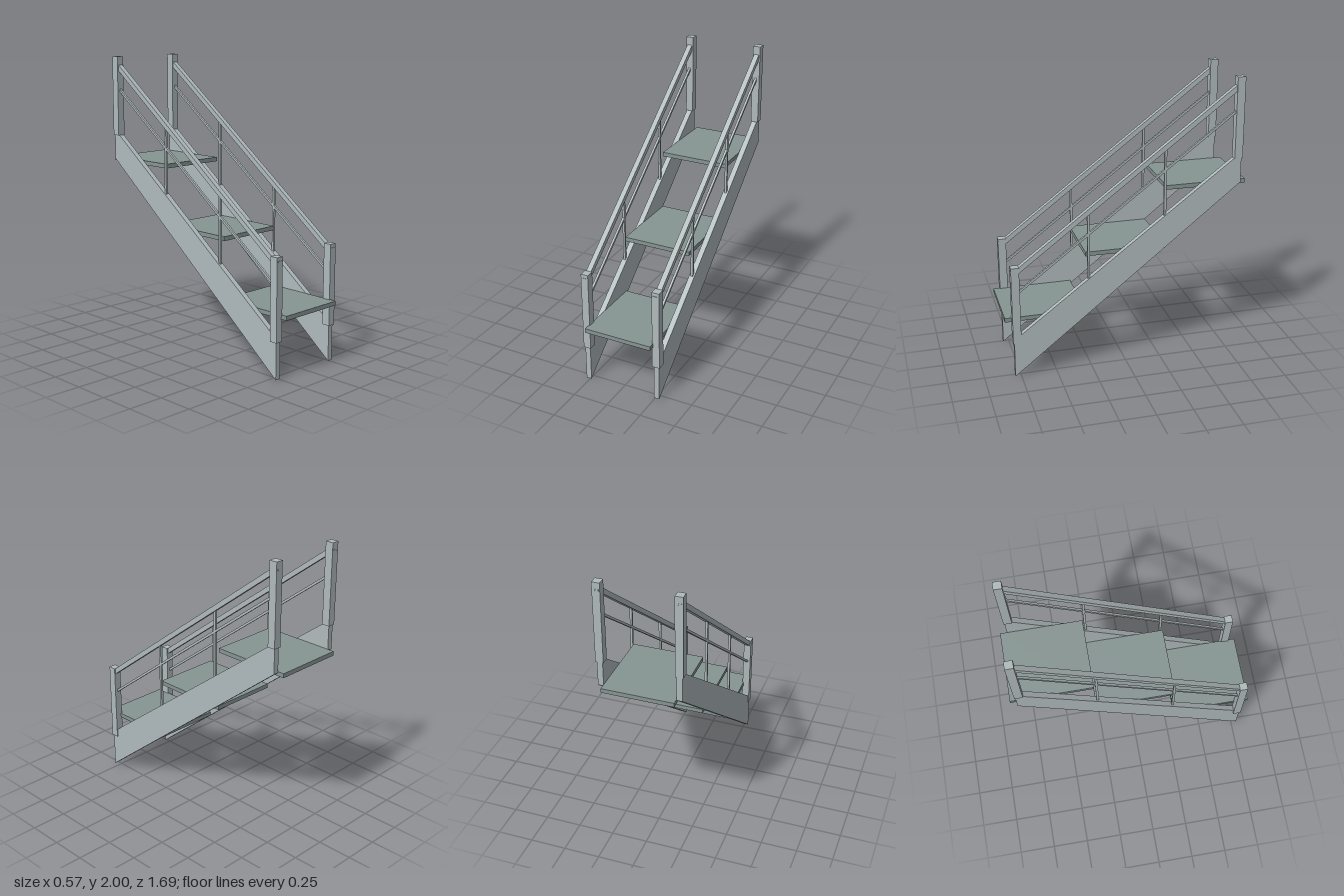
import * as THREE from 'three';

export function createModel() {
  const model = new THREE.Group();
  model.name = 'openStaircase';
  const frame = new THREE.MeshStandardMaterial({ color: 0xb0babc });
  frame.name = 'pale grey frame';
  const treadGrey = new THREE.MeshStandardMaterial({ color: 0x869593 });
  treadGrey.name = 'green grey tread';

  const add = (parent, name, geometry, material, x = 0, y = 0, z = 0) => {
    const mesh = new THREE.Mesh(geometry, material);
    mesh.name = name;
    mesh.position.set(x, y, z);
    parent.add(mesh);
    return mesh;
  };

  // Side profile given as [z, y] points, extruded across x and centred on x = 0
  const sidePlate = (points, width) => {
    const shape = new THREE.Shape(points.map(([z, y]) => new THREE.Vector2(-z, y)));
    return new THREE.ExtrudeGeometry(shape, { depth: width, bevelEnabled: false })
      .translate(0, 0, -width / 2)
      .rotateY(Math.PI / 2);
  };

  // Height of a line parallel to the flight, from its height at z = 0
  const slope = 0.76;
  const along = (base, z) => base - slope * z;
  const topRail = 1.353, midRail = 1.192, stringerTop = 0.875;

  // Treads
  for (let i = 0; i < 3; i++) {
    add(model, 'tread', new THREE.BoxGeometry(0.486, 0.03, 0.56), treadGrey,
      0, 0.416 + 0.423 * i, 0.564 * (1 - i));
  }

  for (const [side, name] of [[1, 'leftSide'], [-1, 'rightSide']]) {
    const group = new THREE.Group();
    group.name = name;
    group.position.x = side * 0.261;
    model.add(group);

    // Sloping stringer with plumb-cut ends
    add(group, 'stringer', sidePlate([
      [0.79, 0], [-0.797, 1.268], [-0.797, 1.44], [-0.745, 1.44], [0.79, 0.275],
    ], 0.038), frame);

    // End posts
    add(group, 'frontPost', new THREE.BoxGeometry(0.053, 0.56, 0.056), frame, 0, 0.53, 0.77);
    add(group, 'backPost', new THREE.BoxGeometry(0.053, 0.56, 0.056), frame, 0, 1.72, -0.775);

    // Handrail, its level ends passing just through the posts
    add(group, 'handrail', sidePlate([
      [0.8, 0.775], [0.75, along(topRail - 0.021, 0.75)],
      [-0.755, along(topRail - 0.021, -0.755)], [-0.805, 1.945],
      [-0.805, 1.955], [-0.755, along(topRail + 0.021, -0.755)],
      [0.75, along(topRail + 0.021, 0.75)], [0.8, 0.785],
    ], 0.036), frame);

    // Thin middle rail
    add(group, 'middleRail', sidePlate([
      [0.75, along(midRail - 0.01, 0.75)], [-0.755, along(midRail - 0.01, -0.755)],
      [-0.755, along(midRail + 0.01, -0.755)], [0.75, along(midRail + 0.01, 0.75)],
    ], 0.016), frame);

    // Balusters from stringer to handrail
    for (const z of [0.263, -0.268]) {
      const bottom = along(stringerTop, z) - 0.03, top = along(topRail, z);
      add(group, 'baluster', new THREE.BoxGeometry(0.016, top - bottom, 0.016), frame,
        0, (top + bottom) / 2, z);
    }
  }
  return model;
}
